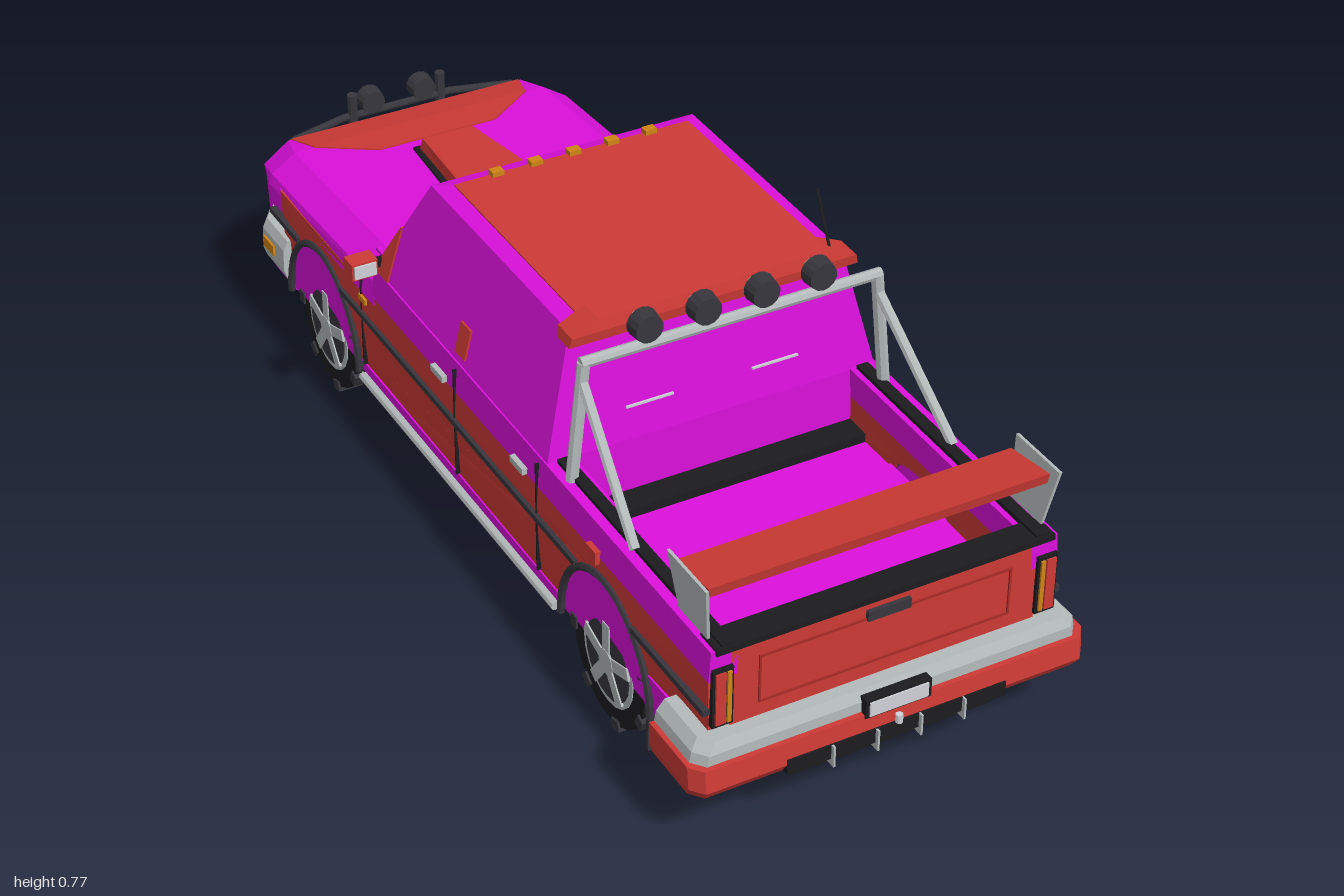
import * as THREE from 'three';

const mat = (name, color) => { const m = new THREE.MeshStandardMaterial({ color, flatShading: true }); m.name = name; return m; };

export function createModel() {
  const truck = new THREE.Group();
  const magenta = mat('magenta', 0xdc10dc), red = mat('red', 0xcd3a35), black = mat('black', 0x1c1c1f),
    dark = mat('darkGrey', 0x37363d), silver = mat('silver', 0xb4baba), pale = mat('pale', 0xd0d0d8),
    glass = mat('glass', 0x3c5468), orange = mat('orange', 0xd08414), maroon = mat('darkRed', 0xa82a26);

  const add = (name, geo, m, parent = truck) => {
    const mesh = new THREE.Mesh(geo, m); mesh.name = name; parent.add(mesh); return mesh;
  };
  // box given by its limits
  const box = (name, m, x0, x1, y0, y1, z0, z1) => add(name,
    new THREE.BoxGeometry(x1 - x0, y1 - y0, z1 - z0).translate((x0 + x1) / 2, (y0 + y1) / 2, (z0 + z1) / 2), m);
  const pair = (name, m, x0, x1, ...r) => { box(name, m, x0, x1, ...r); box(name, m, -x1, -x0, ...r); };
  // solid through equal loops of [x, y, z] points
  const loft = (name, m, loops) => {
    const n = loops[0].length, tris = [];
    const last = loops[loops.length - 1];
    for (let k = 0; k < loops.length - 1; k++) for (let i = 0; i < n; i++) {
      const j = (i + 1) % n, a = loops[k], b = loops[k + 1];
      tris.push([a[i], a[j], b[j]], [a[i], b[j], b[i]]);
    }
    for (let i = 1; i < n - 1; i++) tris.push([loops[0][0], loops[0][i + 1], loops[0][i]], [last[0], last[i], last[i + 1]]);
    let vol = 0;
    for (const [a, b, c] of tris) vol += new THREE.Vector3(...a).dot(new THREE.Vector3(...b).cross(new THREE.Vector3(...c)));
    if (vol < 0) tris.forEach(t => t.reverse());
    const g = new THREE.BufferGeometry();
    g.setAttribute('position', new THREE.Float32BufferAttribute(tris.flat(2), 3));
    g.computeVertexNormals();
    return add(name, g, m);
  };
  const rect = (x, y, z0, z1) => [[-x, y, z0], [x, y, z0], [x, y, z1], [-x, y, z1]];
  const plate = (name, m, pts, off) => loft(name, m, [pts, pts.map(p => p.map((v, i) => v + off[i]))]);
  const flip = pts => pts.map(([x, y, z]) => [-x, y, z]);
  const rod = (name, m, pts, r, sides = 8) => {
    for (let i = 0; i < pts.length - 1; i++) {
      const a = new THREE.Vector3(...pts[i]), b = new THREE.Vector3(...pts[i + 1]), d = b.clone().sub(a);
      const mesh = add(name, new THREE.CylinderGeometry(r, r, d.length(), sides), m);
      mesh.position.copy(a).add(b).multiplyScalar(0.5);
      mesh.quaternion.setFromUnitVectors(new THREE.Vector3(0, 1, 0), d.normalize());
    }
  };
  const rods = (name, m, pts, r) => { rod(name, m, pts, r); rod(name, m, flip(pts), r); };
  const lamp = (x, y, z, r) => {
    add('lampHousing', new THREE.CylinderGeometry(r, r * 0.9, 0.03, 14).rotateX(-Math.PI / 2).translate(x, y, z), dark);
    add('lampLens', new THREE.CylinderGeometry(r * 0.85, r * 0.85, 0.006, 14).rotateX(Math.PI / 2).translate(x, y, z - 0.017), pale);
  };

  // body sides: profiles in (-z, y), extruded across x, gently barrelled and drawn in at the nose
  const WHEELS = [0.585, -0.6], RX = 0.165, RY = 0.182, AY = 0.135;
  const side = (name, m, shape, x0, x1) => {
    for (const s of [1, -1]) {
      const g = new THREE.ExtrudeGeometry(shape, { depth: x1 - x0, bevelEnabled: false, curveSegments: 18 });
      g.rotateY(Math.PI / 2).translate(s > 0 ? x0 : -x1, 0, 0);
      const p = g.attributes.position;
      for (let i = 0; i < p.count; i++) {
        const y = p.getY(i), z = p.getZ(i);
        p.setX(i, p.getX(i) * (1 - 0.5 * Math.abs(y - 0.29) ** 1.5) * (z < -0.86 ? 0.93 : 1));
      }
      g.computeVertexNormals();
      add(name, g, m);
    }
  };
  const poly = pts => new THREE.Shape(pts.map(p => new THREE.Vector2(...p)));
  const lower = new THREE.Shape();
  lower.moveTo(-0.93, AY);
  for (const z of WHEELS) {
    lower.lineTo(-z - RX, AY);
    lower.absellipse(-z, AY, RX, RY, Math.PI, 0, true);
  }
  for (const p of [[0.8, AY], [0.8, 0.35], [-0.94, 0.35], [-0.93, AY]]) lower.lineTo(...p);
  side('lowerSide', red, lower, 0.29, 0.345);
  side('frontFender', magenta, poly([[0.8, 0.135], [0.86, 0.14], [0.93, 0.15], [0.93, 0.33], [0.86, 0.35], [0.8, 0.35]]), 0.28, 0.345);
  side('bedRail', magenta, poly([[-0.94, 0.35], [0.36, 0.35], [0.36, 0.415], [-0.94, 0.41]]), 0.29, 0.345);
  side('sillStripe', magenta, poly([[-0.41, 0.135], [0.43, 0.135], [0.43, 0.16], [-0.41, 0.16]]), 0.335, 0.348);
  side('rearQuarterPatch', magenta, poly([[-0.84, 0.135], [-0.745, 0.135], [-0.735, 0.22], [-0.84, 0.22]]), 0.338, 0.347);

  // wheel arches and wheels
  for (const z of WHEELS) {
    const half = new THREE.Shape();
    half.moveTo(-z - RX, AY);
    half.absellipse(-z, AY, RX, RY, Math.PI, 0, true);
    half.lineTo(-z + 0.075, AY);
    half.absellipse(-z, AY, 0.075, 0.025, 0, Math.PI, false);
    side('archPanel', magenta, half, 0.34, 0.346);
    const arc = [];
    for (let i = 0; i <= 14; i++) {
      const a = Math.PI * i / 14;
      arc.push(new THREE.Vector3(0.345, AY + RY * Math.sin(a), z + RX * Math.cos(a)));
    }
    for (const s of [1, -1]) {
      const path = new THREE.CatmullRomCurve3(arc.map(v => new THREE.Vector3(v.x * s, v.y, v.z)));
      add('archTrim', new THREE.TubeGeometry(path, 20, 0.008, 6), dark);
      const w = new THREE.Group(); w.name = 'wheel';
      w.position.set(s * 0.288, 0.138, z); truck.add(w);
      const cyl = (name, m, r, len, x, n) => add(name, new THREE.CylinderGeometry(r, r, len, n).rotateZ(Math.PI / 2).translate(s * x, 0, 0), m, w);
      cyl('tyre', black, 0.128, 0.096, 0, 20);
      cyl('rim', silver, 0.09, 0.004, 0.048, 20);
      cyl('rimDish', dark, 0.078, 0.004, 0.05, 20);
      cyl('hub', silver, 0.026, 0.012, 0.05, 10);
      for (let i = 0; i < 5; i++) add('spoke', new THREE.BoxGeometry(0.006, 0.075, 0.024).translate(s * 0.052, 0.045, 0).rotateX(i * Math.PI * 0.4), silver, w);
      for (let i = 0; i < 14; i++) add('treadLug', new THREE.BoxGeometry(0.052, 0.02, 0.026)
        .translate(i % 2 ? 0.026 : -0.026, 0.127, 0).rotateX((i + 0.5) * Math.PI / 7), dark, w);
    }
  }

  // floor, cabin base, bed and tail
  box('underbody', black, -0.235, 0.235, 0.125, 0.27, -0.88, 0.88);
  box('cabinFloor', black, -0.3, 0.3, 0.125, 0.3, -0.43, 0.41);
  box('cabinBase', magenta, -0.3, 0.3, 0.3, 0.41, -0.43, 0.355);
  box('bedFloor', magenta, -0.295, 0.295, 0.27, 0.282, 0.35, 0.9);
  box('noseBlock', red, -0.285, 0.285, 0.15, 0.34, -0.93, -0.78);
  box('tailPanel', red, -0.3, 0.3, 0.15, 0.405, 0.89, 0.94);
  box('tailgateCap', black, -0.33, 0.33, 0.403, 0.415, 0.89, 0.945);
  pair('railCap', black, 0.295, 0.318, 0.41, 0.42, 0.36, 0.94);
  for (const y of [0.275, 0.37]) box('tailgateCrease', maroon, -0.247, 0.247, y - 0.002, y + 0.002, 0.94, 0.943);
  pair('tailgateCrease', maroon, 0.243, 0.247, 0.275, 0.37, 0.94, 0.943);
  box('tailgateHandle', dark, -0.042, 0.042, 0.368, 0.388, 0.94, 0.948);
  pair('tailLightFrame', black, 0.298, 0.338, 0.255, 0.375, 0.92, 0.947);
  pair('tailLight', red, 0.314, 0.333, 0.262, 0.368, 0.945, 0.951);
  pair('rearIndicator', orange, 0.303, 0.311, 0.262, 0.368, 0.945, 0.951);

  // hood
  const hoodLoop = (z, k, top) => [[-0.345 * k, 0.335, z], [0.345 * k, 0.335, z], [0.338 * k, top - 0.035, z],
    [0.285 * k, top, z], [-0.285 * k, top, z], [-0.338 * k, top - 0.035, z]];
  loft('hood', magenta, [hoodLoop(-0.35, 1, 0.418), hoodLoop(-0.86, 0.99, 0.39), hoodLoop(-0.935, 0.93, 0.375)]);
  plate('hoodFrontPatch', red, [[-0.26, 0.376, -0.934], [0.26, 0.376, -0.934], [0.24, 0.391, -0.86], [-0.24, 0.391, -0.86]], [0, 0.002, 0]);
  plate('hoodPatch', red, [[-0.24, 0.39, -0.86], [0.24, 0.39, -0.86], [0.13, 0.395, -0.78], [-0.13, 0.395, -0.78]], [0, 0.003, 0]);
  plate('scoopTrim', black, [[-0.07, 0.393, -0.75], [0.07, 0.393, -0.75], [0.094, 0.41, -0.495], [-0.094, 0.41, -0.495]], [0, 0.008, 0]);
  loft('hoodScoop', red, [
    [[-0.062, 0.39, -0.742], [0.062, 0.39, -0.742], [0.086, 0.39, -0.5], [-0.086, 0.39, -0.5]],
    [[-0.055, 0.425, -0.735], [0.055, 0.425, -0.735], [0.078, 0.443, -0.505], [-0.078, 0.443, -0.505]]]);
  rod('wiper', black, [[-0.14, 0.424, -0.385], [0.07, 0.424, -0.395]], 0.004, 5);

  // cabin
  const shieldZ = y => -0.36 + 0.14 * (y - 0.41) / 0.245, wallX = y => 0.335 - 0.06 * (y - 0.41) / 0.245;
  loft('cabin', magenta, [rect(0.335, 0.41, -0.36, 0.355), rect(0.275, 0.655, -0.22, 0.325), rect(0.25, 0.664, -0.19, 0.31)]);
  box('roofPanel', red, -0.245, 0.245, 0.66, 0.667, -0.185, 0.32);
  loft('roofSpoiler', red, [rect(0.29, 0.64, 0.31, 0.355), rect(0.285, 0.66, 0.305, 0.358), rect(0.23, 0.682, 0.3, 0.352)]);
  const band = (x, y0, y1) => [[-x, y0, shieldZ(y0)], [x, y0, shieldZ(y0)], [x, y1, shieldZ(y1)], [-x, y1, shieldZ(y1)]];
  plate('windshield', glass, band(0.29, 0.418, 0.475), [0, 0.002, -0.004]);
  const pillar = [[0.292, 0.415, shieldZ(0.415)], [wallX(0.415), 0.415, shieldZ(0.415)], [wallX(0.53), 0.53, shieldZ(0.53)], [0.295, 0.53, shieldZ(0.53)]];
  const quarter = [[wallX(0.415), 0.415, -0.355], [wallX(0.415), 0.415, -0.3], [wallX(0.53), 0.53, -0.288]];
  const post = [[wallX(0.43), 0.43, -0.015], [wallX(0.43), 0.43, 0.025], [wallX(0.49), 0.49, 0.025], [wallX(0.49), 0.49, -0.015]];
  for (const f of [p => p, flip]) {
    const s = f === flip ? -1 : 1;
    plate('windshieldPillar', red, f(pillar), [0, 0.002, -0.005]);
    plate('quarterTrim', red, f(quarter), [s * 0.004, 0, 0]);
    plate('doorPost', red, f(post), [s * 0.004, 0, 0]);
  }
  for (let i = -2; i <= 2; i++) box('roofMarker', orange, i * 0.08 - 0.012, i * 0.08 + 0.012, 0.664, 0.677, -0.19, -0.172);
  pair('rearWindowLine', pale, 0.08, 0.175, 0.474, 0.478, 0.34, 0.351);
  rod('antenna', black, [[0.243, 0.66, 0.34], [0.243, 0.77, 0.285]], 0.003, 5);

  // side details
  for (const [z0, z1] of [[0.69, 0.94], [-0.5, 0.485], [-0.84, -0.705]]) pair('sideTrim', dark, 0.338, 0.352, 0.281, 0.293, z0, z1);
  for (const z of [-0.41, 0, 0.33]) pair('doorGap', black, 0.335, 0.3462, 0.165, 0.4, z - 0.0015, z + 0.0015);
  for (const z of [-0.06, 0.265]) pair('doorHandle', silver, 0.335, 0.352, 0.351, 0.364, z - 0.025, z + 0.025);
  pair('sideMarker', orange, 0.335, 0.349, 0.317, 0.329, -0.415, -0.385);
  pair('fuelFlap', red, 0.335, 0.352, 0.338, 0.365, 0.53, 0.565);
  rods('sillTube', silver, [[0.345, 0.132, 0.4], [0.345, 0.132, -0.42]], 0.009);
  pair('mirrorArm', black, 0.32, 0.35, 0.43, 0.445, -0.35, -0.335);
  pair('mirror', red, 0.345, 0.398, 0.423, 0.458, -0.36, -0.322);
  pair('mirrorFace', pale, 0.349, 0.394, 0.427, 0.454, -0.323, -0.318);
  pair('mudFlap', dark, 0.235, 0.35, 0.065, 0.14, 0.745, 0.753);

  // roll bar with lamps
  rods('rollBarLeg', silver, [[0.318, 0.41, 0.415], [0.293, 0.65, 0.415]], 0.012);
  rods('rollBarBrace', silver, [[0.318, 0.415, 0.645], [0.297, 0.61, 0.42]], 0.01);
  rod('rollBarTop', silver, [[-0.3, 0.65, 0.415], [0.3, 0.65, 0.415]], 0.011);
  for (const x of [-0.173, -0.058, 0.058, 0.173]) lamp(x, 0.687, 0.415, 0.03);

  // rear wing
  loft('wing', red, [[-0.33, 0], [0.33, 0]].map(([x]) => [[x, 0.49, 0.8], [x, 0.503, 0.8], [x, 0.522, 0.915], [x, 0.5, 0.91]]));
  for (const s of [1, -1]) plate('wingEndPlate', silver,
    [[s * 0.323, 0.415, 0.815], [s * 0.323, 0.415, 0.91], [s * 0.338, 0.53, 0.93], [s * 0.338, 0.53, 0.8]], [s * 0.006, 0, 0]);

  // rear bumper
  const tub = (x, y, z) => [[-x, y, 0.83], [x, y, 0.83], [x, y, z - 0.025], [x - 0.02, y, z], [-x + 0.02, y, z], [-x, y, z - 0.025]];
  loft('rearBumper', silver, [tub(0.382, 0.203, 0.975), tub(0.378, 0.225, 0.975), tub(0.362, 0.244, 0.965)]);
  loft('rearApron', red, [tub(0.385, 0.138, 0.975), tub(0.391, 0.16, 0.99), tub(0.391, 0.204, 0.985)]);
  box('plateFrame', black, -0.065, 0.065, 0.198, 0.236, 0.97, 0.989);
  box('plate', pale, -0.058, 0.058, 0.202, 0.231, 0.987, 0.992);
  box('diffuser', black, -0.217, 0.217, 0.141, 0.171, 0.97, 0.992);
  box('diffuserLip', black, -0.2, 0.2, 0.12, 0.142, 0.86, 0.975);
  for (const x of [0.043, 0.13]) pair('diffuserFin', silver, x - 0.002, x + 0.002, 0.128, 0.171, 0.97, 1);
  rod('towBall', pale, [[0, 0.17, 0.993], [0, 0.187, 0.993]], 0.007);

  // nose: grille, headlights, bumper
  box('grilleFrame', black, -0.29, 0.29, 0.255, 0.35, -0.942, -0.92);
  for (const y of [0.275, 0.302, 0.329]) box('grilleBar', dark, -0.16, 0.16, y - 0.005, y + 0.005, -0.947, -0.94);
  pair('headlight', pale, 0.175, 0.275, 0.272, 0.335, -0.948, -0.94);
  const nose = (x, y, z) => [[-x, y, -0.765], [-x, y, -0.87], [-x + 0.055, y, z], [x - 0.055, y, z], [x, y, -0.87], [x, y, -0.765]];
  loft('frontValance', magenta, [nose(0.335, 0.13, -0.91), nose(0.345, 0.165, -0.94)]);
  loft('frontBumper', silver, [nose(0.352, 0.162, -0.95), nose(0.36, 0.185, -0.955), nose(0.358, 0.23, -0.95), nose(0.348, 0.25, -0.94)]);
  box('bumperIntake', black, -0.16, 0.16, 0.18, 0.225, -0.959, -0.94);
  pair('frontIndicator', orange, 0.22, 0.285, 0.19, 0.215, -0.959, -0.94);
  pair('cornerMarker', orange, 0.35, 0.363, 0.195, 0.218, -0.86, -0.81);

  // bull bar
  rods('bullBarUpright', dark, [[0.1, 0.15, -0.965], [0.1, 0.19, -0.98], [0.1, 0.415, -0.98]], 0.011);
  for (const y of [0.225, 0.3, 0.365]) {
    rod('bullBarRail', dark, [[-0.12, y, -0.98], [0.12, y, -0.98]], 0.008);
    rods('bullBarWing', dark, [[0.12, y, -0.98], [0.25, y, -0.945]], 0.008);
  }
  rods('bullBarEnd', dark, [[0.25, 0.225, -0.947], [0.25, 0.365, -0.947]], 0.008);
  for (const x of [-0.058, 0.058]) lamp(x, 0.392, -0.98, 0.028);

  return truck;
}
